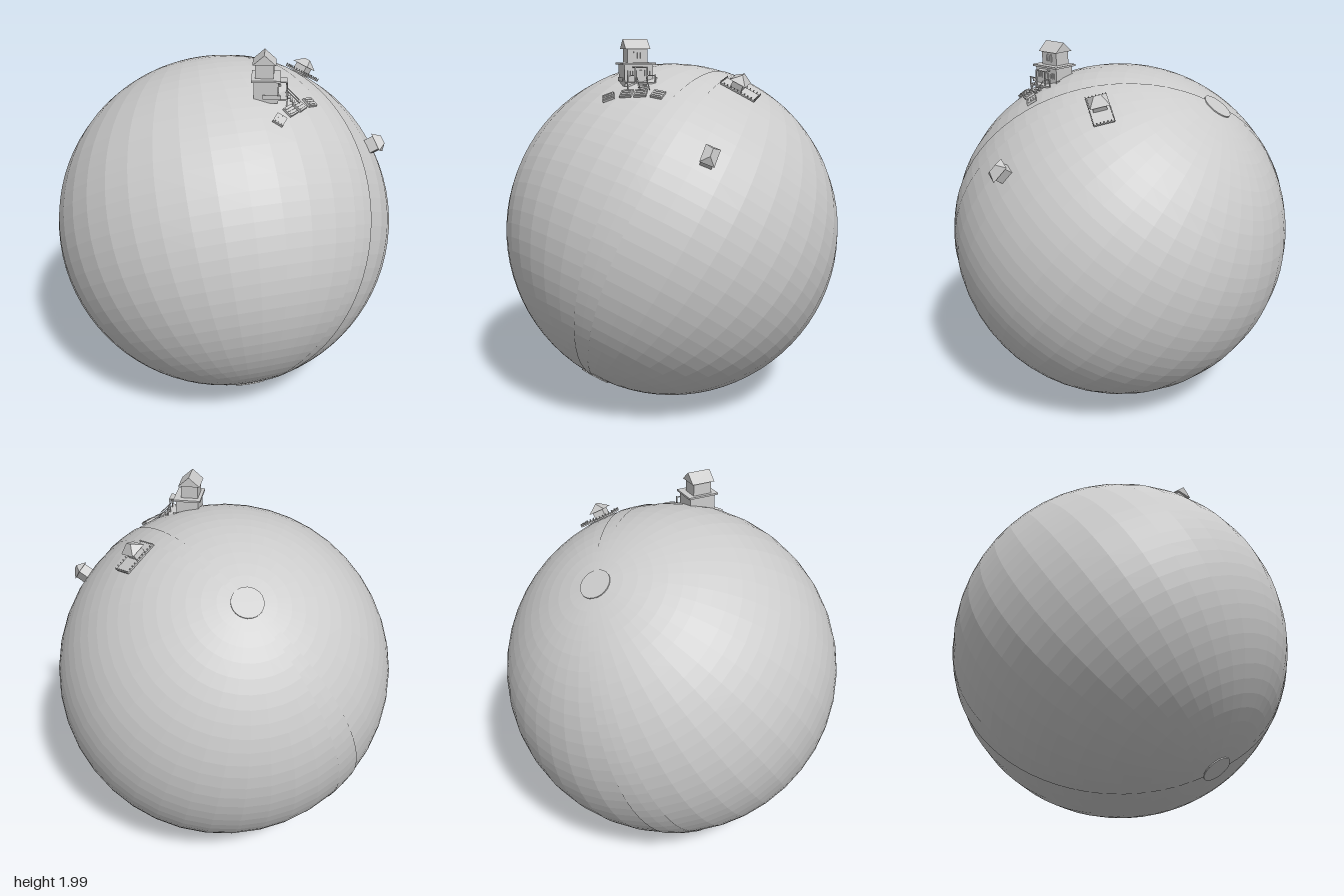
import * as THREE from 'three';

const R = 0.933, CY = 0.938;
const mat = new THREE.MeshStandardMaterial({ color: 0xcccccc, flatShading: true, side: THREE.DoubleSide });

function add(parent, name, geo, x = 0, y = 0, z = 0) {
  const m = new THREE.Mesh(geo, mat);
  m.name = name;
  m.position.set(x, y, z);
  parent.add(m);
  return m;
}
const box = (parent, name, w, h, d, x, y, z) => add(parent, name, new THREE.BoxGeometry(w, h, d), x, y, z);

// Roof with its ridge along x; ridge = w makes a gable, shorter makes a hip
function roofGeometry(w, d, h, ridge) {
  const a = w / 2, b = d / 2, r = ridge / 2;
  const g = new THREE.BufferGeometry();
  g.setAttribute('position', new THREE.Float32BufferAttribute(
    [-a, 0, b, a, 0, b, a, 0, -b, -a, 0, -b, -r, h, 0, r, h, 0], 3));
  g.setIndex([0, 1, 5, 0, 5, 4, 2, 3, 4, 2, 4, 5, 1, 2, 5, 3, 0, 4, 0, 3, 2, 0, 2, 1]);
  const flat = g.toNonIndexed();
  flat.computeVertexNormals();
  return flat;
}

// Group standing on the upper half of the globe, its y axis pointing outward
function place(parent, name, x, z, yaw = 0) {
  const g = new THREE.Group();
  g.name = name;
  const n = new THREE.Vector3(x, Math.sqrt(R * R - x * x - z * z), z);
  g.position.set(n.x, n.y + CY, n.z);
  g.quaternion.setFromUnitVectors(new THREE.Vector3(0, 1, 0), n.normalize());
  g.rotateY(yaw);
  parent.add(g);
  return g;
}

// Ribbon running from pole to pole, narrow at its ends
function roadGeometry() {
  const pos = [], idx = [], steps = 40, cols = 2, r = R + 0.003;
  for (let i = 0; i <= steps; i++) {
    const t = 0.07 + (Math.PI - 0.14) * i / steps, s = Math.sin(t);
    const half = (0.008 + 0.066 * s) / (R * s);
    for (let j = 0; j <= cols; j++) {
      const p = half * (2 * j / cols - 1);
      pos.push(r * s * Math.cos(p), r * Math.cos(t), r * s * Math.sin(p));
      if (i < steps && j < cols) {
        const k = i * (cols + 1) + j, n = k + cols + 1;
        idx.push(k, k + 1, n, k + 1, n + 1, n);
      }
    }
  }
  const g = new THREE.BufferGeometry();
  g.setAttribute('position', new THREE.Float32BufferAttribute(pos, 3));
  g.setIndex(idx);
  g.computeVertexNormals();
  return g;
}

// Framed window with a cross bar, facing +z
function windowFrame(parent, x, y, z, s) {
  const g = new THREE.Group();
  g.name = 'window';
  g.position.set(x, y, z);
  parent.add(g);
  for (const k of [-1, 1]) {
    box(g, 'windowSide', s * 0.15, s, 0.006, k * s / 2, 0, 0);
    box(g, 'windowRail', s * 1.15, s * 0.15, 0.006, 0, k * s / 2, 0);
  }
  box(g, 'windowBar', s * 0.1, s, 0.004, 0, 0, 0);
}

function buildGlobe(parent) {
  const globe = new THREE.Group();
  globe.name = 'globe';
  globe.position.y = CY;
  const axis = new THREE.Vector3(0.29, 0.76, -0.455).normalize();
  const side = new THREE.Vector3(0.11, 0.44, 0.81);
  side.addScaledVector(axis, -side.dot(axis)).normalize();
  globe.quaternion.setFromRotationMatrix(
    new THREE.Matrix4().makeBasis(side, axis, new THREE.Vector3().crossVectors(side, axis)));
  parent.add(globe);
  add(globe, 'planet', new THREE.SphereGeometry(R, 40, 40)).rotation.y = Math.PI / 40;
  for (const k of [0, 1]) {
    add(globe, 'road', roadGeometry()).rotation.y = k * Math.PI;
    add(globe, 'poleDisc', new THREE.CylinderGeometry(0.081, 0.081, 0.008, 24), 0, (k ? -1 : 1) * (R - 0.002), 0);
  }
}

function buildMainHouse(parent) {
  const h = new THREE.Group();
  h.name = 'mainHouse';
  h.position.set(-0.075, 1.77, 0.345);
  h.rotation.y = 0.66;
  parent.add(h);
  // Ground floor with an overhanging slab
  box(h, 'groundFloor', 0.15, 0.11, 0.12, 0, 0.05, 0);
  box(h, 'floorSlab', 0.175, 0.01, 0.145, 0, 0.107, 0);
  box(h, 'door', 0.03, 0.06, 0.006, 0, 0.045, 0.062);
  for (const k of [-1, 1]) windowFrame(h, k * 0.045, 0.06, 0.062, 0.026);
  // Upper floor under a gabled roof
  box(h, 'upperFloor', 0.105, 0.075, 0.09, 0, 0.148, -0.01);
  add(h, 'mainRoof', roofGeometry(0.13, 0.115, 0.05, 0.13), 0, 0.18, -0.01);
  windowFrame(h, 0, 0.148, 0.037, 0.034);
  // Porch: deck, posts, canopy and handrails
  box(h, 'porchDeck', 0.15, 0.008, 0.05, 0, 0.012, 0.085);
  box(h, 'porchCanopy', 0.07, 0.006, 0.04, 0, 0.09, 0.085);
  for (const k of [-1, 1]) {
    box(h, 'porchPost', 0.006, 0.08, 0.006, k * 0.032, 0.05, 0.102);
    box(h, 'cornerPost', 0.006, 0.05, 0.006, k * 0.072, 0.03, 0.107);
    box(h, 'handrail', 0.042, 0.005, 0.005, k * 0.052, 0.05, 0.107);
    box(h, 'deckLeg', 0.007, 0.045, 0.007, k * 0.07, -0.008, 0.104);
    box(h, 'sideFence', 0.004, 0.02, 0.09, k * 0.088, 0.03, 0.03);
  }
  // Steps leading down from the porch
  for (let i = 0; i < 5; i++)
    box(h, 'step', 0.045, 0.006, 0.014, 0, 0.004 - i * 0.011, 0.116 + i * 0.011);
  for (const k of [-1, 1])
    box(h, 'stairRail', 0.004, 0.004, 0.085, k * 0.024, 0.012, 0.138).rotation.x = 0.78;
}

function buildHutWithYard(parent) {
  const h = place(parent, 'hutWithYard', 0.425, 0.19);
  box(h, 'hutWalls', 0.06, 0.06, 0.07, -0.005, 0.025, 0);
  add(h, 'hutRoof', roofGeometry(0.1, 0.09, 0.04, 0.035), -0.005, 0.047, 0).rotation.y = Math.PI / 2;
  box(h, 'yard', 0.2, 0.008, 0.105, 0.012, 0.006, 0);
  // Low pickets round the yard
  for (const k of [-1, 1]) {
    for (let i = 0; i < 11; i++) box(h, 'picket', 0.005, 0.014, 0.004, -0.086 + i * 0.0196, 0.013, k * 0.052);
    for (let i = 0; i < 5; i++) box(h, 'picket', 0.004, 0.014, 0.005, 0.012 + k * 0.098, 0.013, -0.036 + i * 0.018);
  }
}

function buildSmallHut(parent) {
  const h = place(parent, 'smallHut', 0.415, 0.665, 0.1);
  box(h, 'smallHutWalls', 0.06, 0.06, 0.075, 0, 0.02, 0);
  add(h, 'smallHutRoof', roofGeometry(0.1, 0.075, 0.035, 0.045), 0, 0.048, 0).rotation.y = Math.PI / 2;
  box(h, 'smallHutDoor', 0.02, 0.034, 0.004, 0, 0.02, 0.038);
}

// Row of garden beds in front of the main house
function buildGarden(parent) {
  const beds = [[-0.16, 0.5, 0.35], [-0.065, 0.492, 0.05], [0.01, 0.49, 0.15], [0.1, 0.487, -0.1]];
  for (const [x, z, yaw] of beds) {
    const bed = place(parent, 'gardenBed', x, z, yaw);
    box(bed, 'soil', 0.062, 0.012, 0.055, 0, 0.006, 0);
    for (const k of [-1, 0, 1]) box(bed, 'furrow', 0.05, 0.004, 0.006, 0, 0.013, k * 0.016);
  }
}

export function createModel() {
  const model = new THREE.Group();
  model.name = 'tinyPlanet';
  buildGlobe(model);
  buildMainHouse(model);
  buildHutWithYard(model);
  buildSmallHut(model);
  buildGarden(model);
  return model;
}
